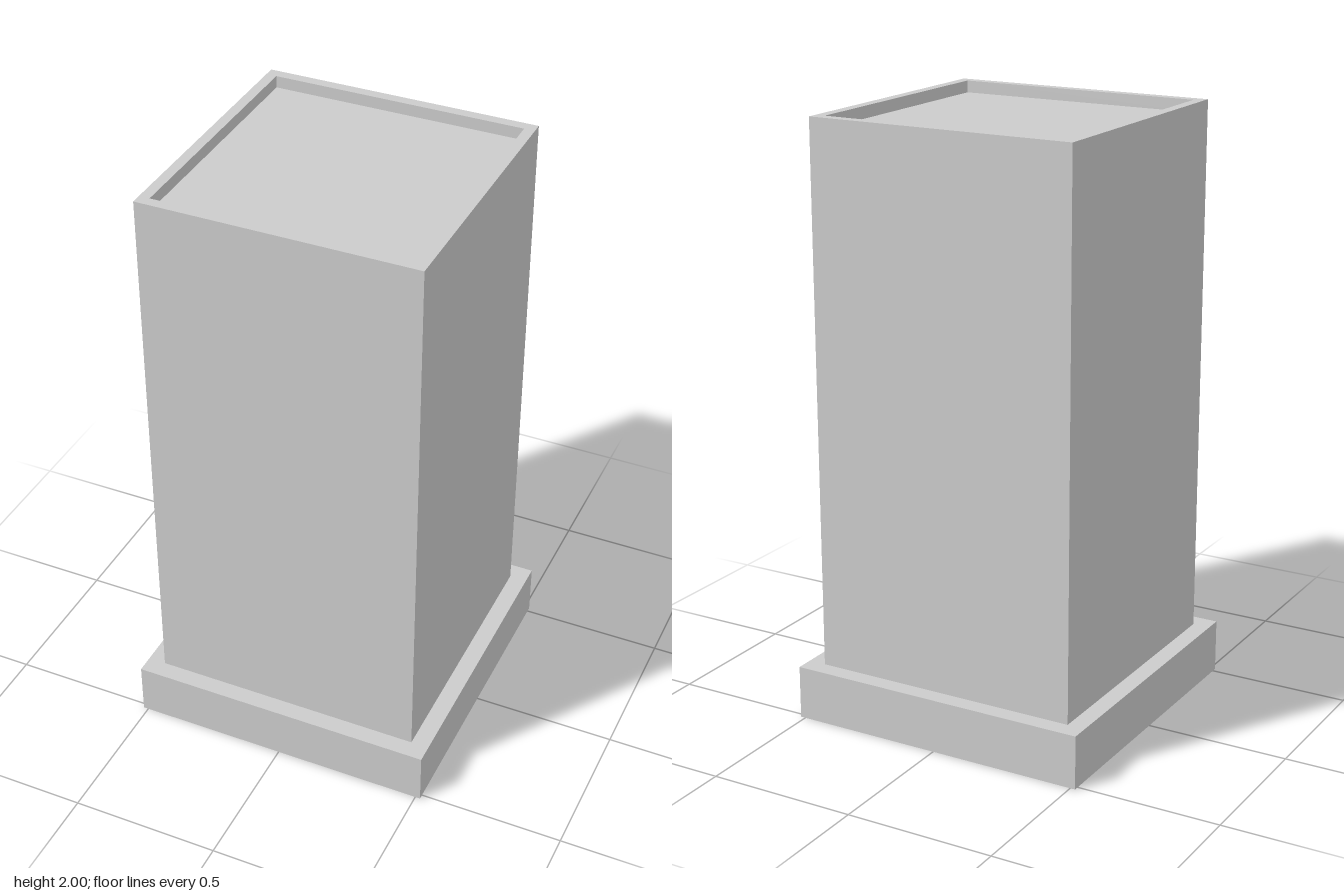
import * as THREE from 'three';

const material = new THREE.MeshStandardMaterial({
  color: 0xcccccc, flatShading: true, side: THREE.DoubleSide,
});

// Square thin-walled shell: sweeps a [halfWidth, y] profile around four sides
function squareShell(name, profile) {
  const points = profile.map(([half, y]) => new THREE.Vector2(half * Math.SQRT2, y));
  const swept = new THREE.LatheGeometry(points, 4).rotateY(Math.PI / 4);
  const geometry = swept.toNonIndexed();
  geometry.computeVertexNormals();
  const mesh = new THREE.Mesh(geometry, material);
  mesh.name = name;
  return mesh;
}

export function createModel() {
  const base = 0.517, shaft = 0.457, inner = 0.422;
  const baseTop = 0.18, top = 2, panelY = 1.96;
  const group = new THREE.Group();
  group.name = 'pedestal';

  // Hollow plinth with a ledge running in to the column
  group.add(squareShell('plinth', [[base, 0], [base, baseTop], [shaft, baseTop]]));

  // Column walls, open underneath
  group.add(squareShell('column', [[shaft, baseTop], [shaft, top]]));

  // Flat rim and the short walls of the recess
  group.add(squareShell('topRim', [[shaft, top], [inner, top], [inner, panelY]]));

  // Sunken top panel
  const panel = new THREE.Mesh(
    new THREE.PlaneGeometry(inner * 2, inner * 2).rotateX(-Math.PI / 2), material);
  panel.name = 'topPanel';
  panel.position.y = panelY;
  group.add(panel);

  return group;
}
